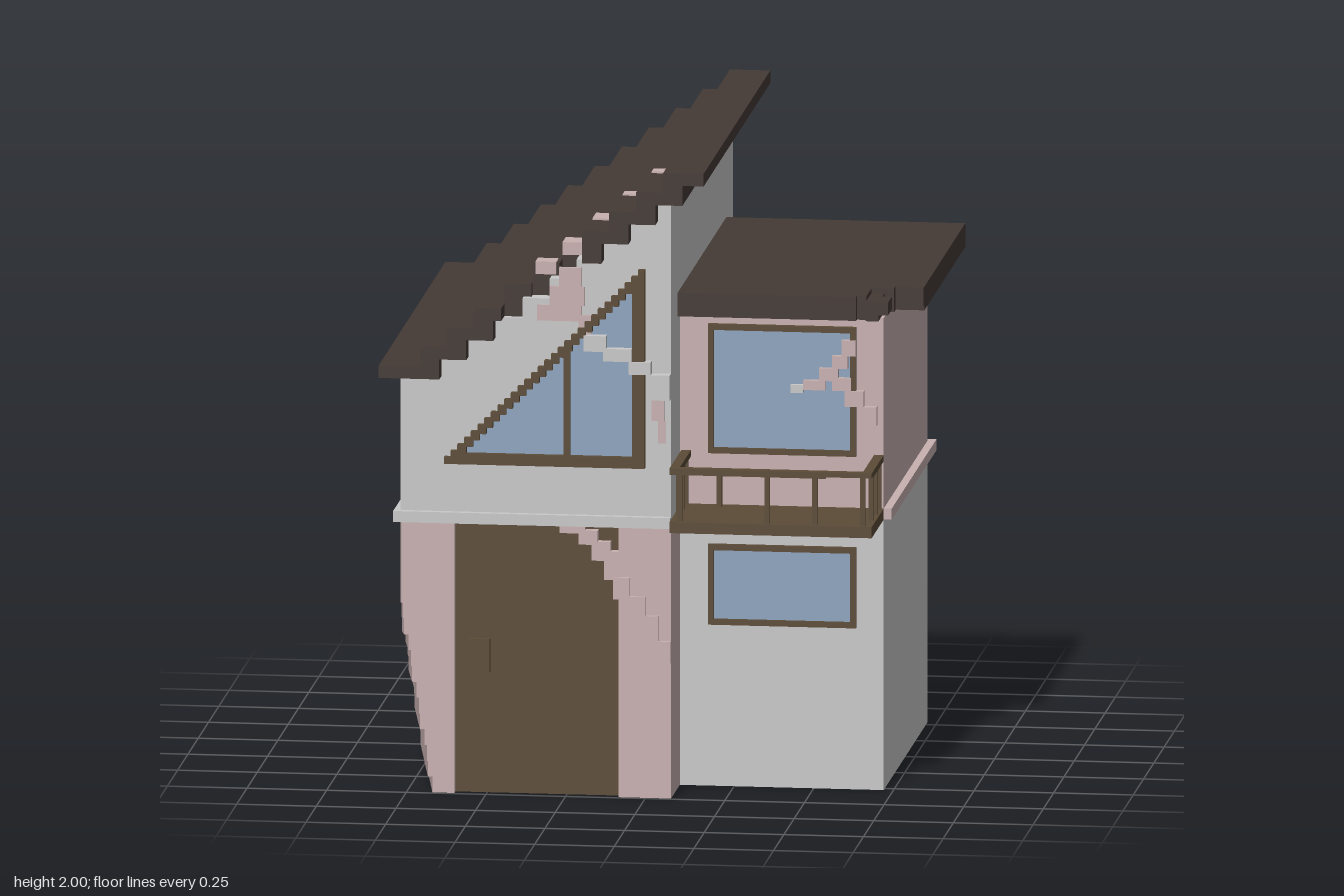
import * as THREE from 'three';

export function createModel() {
  const house = new THREE.Group();
  house.name = 'house';
  const mat = (name, color) => {
    const m = new THREE.MeshStandardMaterial({ color });
    m.name = name;
    return m;
  };
  const pink = mat('pinkPlaster', 0xc8b0b0);
  const grey = mat('greyPlaster', 0xc9c9c9);
  const wood = mat('brownWood', 0x5c4b37);
  const tile = mat('darkRoof', 0x443935);
  const glass = mat('blueGlass', 0x8fa4be);

  const add = (name, m, geo) => {
    const mesh = new THREE.Mesh(geo, m);
    mesh.name = name;
    house.add(mesh);
    return mesh;
  };
  const box = (name, m, x0, x1, y0, y1, z0, z1) => {
    const g = new THREE.BoxGeometry(x1 - x0, y1 - y0, z1 - z0);
    g.translate((x0 + x1) / 2, (y0 + y1) / 2, (z0 + z1) / 2);
    return add(name, m, g);
  };
  const toShape = (pts) => new THREE.Shape(pts.map(([x, y]) => new THREE.Vector2(x, y)));
  const slab = (shape, z0, z1) => {
    const g = new THREE.ExtrudeGeometry(shape, { depth: z1 - z0, bevelEnabled: false });
    return g.translate(0, 0, z0);
  };

  // Lower left storey: door recess in front, front left corner chipped away near the ground
  const slices = 12, chipTop = 0.6;
  const storeySlice = (y0, y1, chip) => {
    const plan = [[-0.77, -0.76], [0.08, -0.76], [0.08, 0.74], [-0.085, 0.74], [-0.085, 0.71],
      [-0.6, 0.71], [-0.6, 0.74], [-0.765 + 0.1 * chip, 0.74], [-0.77, 0.735 - 0.6 * chip]];
    const g = slab(toShape(plan.map(([x, z]) => [x, -z])), y0, y1);
    add('lowerLeftWall', pink, g.rotateX(-Math.PI / 2));
  };
  for (let i = 0; i < slices; i++) {
    const wobble = i % 3 === 1 ? 0.06 : 0;
    const chip = Math.max(0, 1 - (i + 0.5) / slices - wobble);
    storeySlice((chipTop * i) / slices, (chipTop * (i + 1)) / slices, chip);
  }
  storeySlice(chipTop, 0.86, 0);

  // Right block
  box('lowerRightWall', grey, 0.08, 0.72, 0, 0.86, -0.54, 0.525);
  box('upperRightWall', pink, 0.08, 0.72, 0.86, 1.5, -0.54, 0.525);

  // Bands between the storeys
  box('leftBand', grey, -0.79, 0.08, 0.86, 0.895, -0.775, 0.76);
  box('leftBandReturn', grey, 0.08, 0.1, 0.86, 0.895, -0.775, -0.565);
  box('rightBand', pink, 0.08, 0.745, 0.86, 0.895, -0.565, 0.525);

  // Stepped sloping roof: one tread and one riser per step, broken away at the front
  const stepX = (i) => (i === 0 ? -0.83 : i > 10 ? 0.19 : -0.7 + 0.0848 * (i - 1));
  const stepY = (i) => 1.365 + 0.0635 * i;
  const brokenFront = { 4: 0.72, 5: 0.69, 6: 0.62 };
  for (let i = 0; i <= 10; i++) {
    const front = brokenFront[i] ?? 0.8;
    const x = stepX(i), y = stepY(i);
    box('roofTread', tile, x, stepX(i + 1), y - 0.04, y, -0.82, front);
    if (i) box('roofRiser', tile, x, x + 0.06, stepY(i - 1) - 0.04, y - 0.04, -0.82, front);
  }

  // Upper left storey following the underside of the roof
  const gable = [[-0.77, 0.895], [0.08, 0.895], [0.08, stepY(9) - 0.04]];
  for (let i = 9; i >= 0; i--) {
    if (i < 9) gable.push([stepX(i + 1) + 0.06, stepY(i) - 0.04]);
    if (i > 0) gable.push([stepX(i) + 0.06, stepY(i) - 0.04]);
  }
  gable.push([-0.77, stepY(0) - 0.04]);
  add('upperLeftWall', grey, slab(toShape(gable), -0.76, 0.74));

  // Flat roof with its front left corner broken
  box('flatRoof', tile, 0.08, 0.64, 1.5, 1.575, -0.605, 0.58);
  box('flatRoofBrokenEdge', tile, 0.64, 0.67, 1.5, 1.575, -0.605, 0.56);
  box('flatRoofSide', tile, 0.67, 0.74, 1.5, 1.575, -0.605, 0.43);
  box('flatRoofOverhang', tile, 0.74, 0.83, 1.5, 1.575, -0.605, 0.39);
  box('flatRoofShard', tile, 0.8, 0.83, 1.515, 1.575, 0.39, 0.41);
  box('flatRoofShard', tile, 0.67, 0.71, 1.5, 1.56, 0.43, 0.58);
  box('flatRoofShard', tile, 0.71, 0.74, 1.52, 1.56, 0.48, 0.58);

  // Door with a small plate
  box('door', wood, -0.6, -0.085, 0, 0.855, 0.705, 0.715);
  box('doorPlate', wood, -0.555, -0.49, 0.385, 0.49, 0.715, 0.735);

  // Framed windows in the right block
  const framedWindow = (x0, x1, y0, y1, z) => {
    const t = 0.018, d = z + 0.018;
    box('windowGlass', glass, x0 + t, x1 - t, y0 + t, y1 - t, z, z + 0.006);
    box('windowFrame', wood, x0, x1, y0, y0 + t, z, d);
    box('windowFrame', wood, x0, x1, y1 - t, y1, z, d);
    box('windowFrame', wood, x0, x0 + t, y0 + t, y1 - t, z, d);
    box('windowFrame', wood, x1 - t, x1, y0 + t, y1 - t, z, d);
  };
  framedWindow(0.17, 0.635, 1.06, 1.47, 0.525);
  framedWindow(0.17, 0.635, 0.515, 0.77, 0.525);

  // Triangular window with a stepped slanting frame
  const stairTriangle = (x0, x1, y, n) => {
    const s = (x1 - x0) / n, pts = [[x0, y], [x1, y]];
    for (let k = n; k > 0; k--) pts.push([x0 + s * k, y + s * k], [x0 + s * (k - 1), y + s * k]);
    return pts;
  };
  const frame = toShape(stairTriangle(-0.63, 0, 1.05, 30));
  const opening = stairTriangle(-0.56, -0.04, 1.085, 25);
  frame.holes.push(new THREE.Path(opening.map(([x, y]) => new THREE.Vector2(x, y))));
  add('triangularFrame', wood, slab(frame, 0.74, 0.765));
  add('triangularGlass', glass, slab(toShape(opening), 0.74, 0.746));
  box('triangularMullion', wood, -0.255, -0.235, 1.085, 1.42, 0.74, 0.76);

  // Balcony
  box('balconyFloor', wood, 0.085, 0.72, 0.86, 0.895, 0.525, 0.82);
  box('frontRail', wood, 0.085, 0.575, 1.045, 1.065, 0.79, 0.82);
  box('frontRail', wood, 0.575, 0.72, 1.05, 1.065, 0.79, 0.82);
  for (const x of [0.085, 0.69]) box('sideRail', wood, x, x + 0.03, 1.045, 1.065, 0.525, 0.79);
  const post = (x, z, y0 = 0.895, y1 = 1.05) =>
    box('balconyPost', wood, x - 0.008, x + 0.008, y0, y1, z - 0.008, z + 0.008);
  for (const x of [0.115, 0.39, 0.54, 0.69]) post(x, 0.8);
  post(0.24, 0.8, 0.945, 1.05);
  for (const x of [0.1, 0.705]) for (const z of [0.535, 0.62, 0.71]) post(x, z);

  // Cracks and rubble: rows of [x0, x1, y0, y1] standing on a front face
  const rubble = (name, m, z0, z1, rows) =>
    rows.forEach(([x0, x1, y0, y1]) => box(name, m, x0, x1, y0, y1, z0, z1));
  rubble('doorCornerRubble', pink, 0.71, 0.742, [[-0.27, -0.19, 0.835, 0.86], [-0.21, -0.15, 0.8, 0.845],
    [-0.17, -0.11, 0.75, 0.81], [-0.13, -0.085, 0.69, 0.78]]);
  rubble('pillarCrack', pink, 0.74, 0.752, [[-0.1, -0.05, 0.63, 0.7], [-0.06, 0, 0.57, 0.64],
    [-0.01, 0.04, 0.49, 0.58], [0.03, 0.08, 0.43, 0.5]]);
  rubble('gableRubble', pink, 0.735, 0.747, [[-0.34, -0.2, 1.51, 1.56], [-0.3, -0.19, 1.56, 1.62],
    [-0.27, -0.2, 1.62, 1.68], [-0.21, -0.17, 1.47, 1.53]]);
  rubble('gableCrack', grey, 0.74, 0.772, [[-0.19, -0.12, 1.42, 1.47], [-0.13, -0.04, 1.39, 1.43],
    [-0.05, 0.02, 1.35, 1.39], [0.01, 0.08, 1.27, 1.35]]);
  rubble('gableCrackEnd', pink, 0.735, 0.75, [[0.02, 0.06, 1.2, 1.27], [0.04, 0.065, 1.13, 1.2]]);
  rubble('windowRubble', pink, 0.525, 0.55, [[0.47, 0.54, 1.27, 1.3], [0.52, 0.58, 1.3, 1.34],
    [0.56, 0.61, 1.34, 1.38], [0.59, 0.635, 1.38, 1.43], [0.56, 0.62, 1.27, 1.31],
    [0.6, 0.66, 1.22, 1.27], [0.64, 0.7, 1.16, 1.22]]);
  box('windowRubbleTip', grey, 0.43, 0.47, 1.26, 1.285, 0.525, 0.55);

  // Broken patches on the roof treads
  for (const [i, z0, z1] of [[5, 0.64, 0.7], [6, 0.62, 0.7], [7, 0.54, 0.63], [8, 0.5, 0.55], [9, 0.45, 0.5]]) {
    const y = stepY(i);
    box('roofRubble', pink, stepX(i) + 0.01, stepX(i) + 0.075, y - 0.035, y + 0.005, z0, z1);
  }

  // Splinters on the left side wall
  for (const [y, z, h, l] of [[0.98, -0.5, 0.06, 0.05], [0.93, -0.45, 0.06, 0.06], [0.91, -0.39, 0.04, 0.1],
    [0.88, -0.3, 0.05, 0.07], [0.95, -0.32, 0.05, 0.03]]) {
    box('sideSplinter', grey, -0.815, -0.77, y, y + h, z, z + l);
  }
  return house;
}
